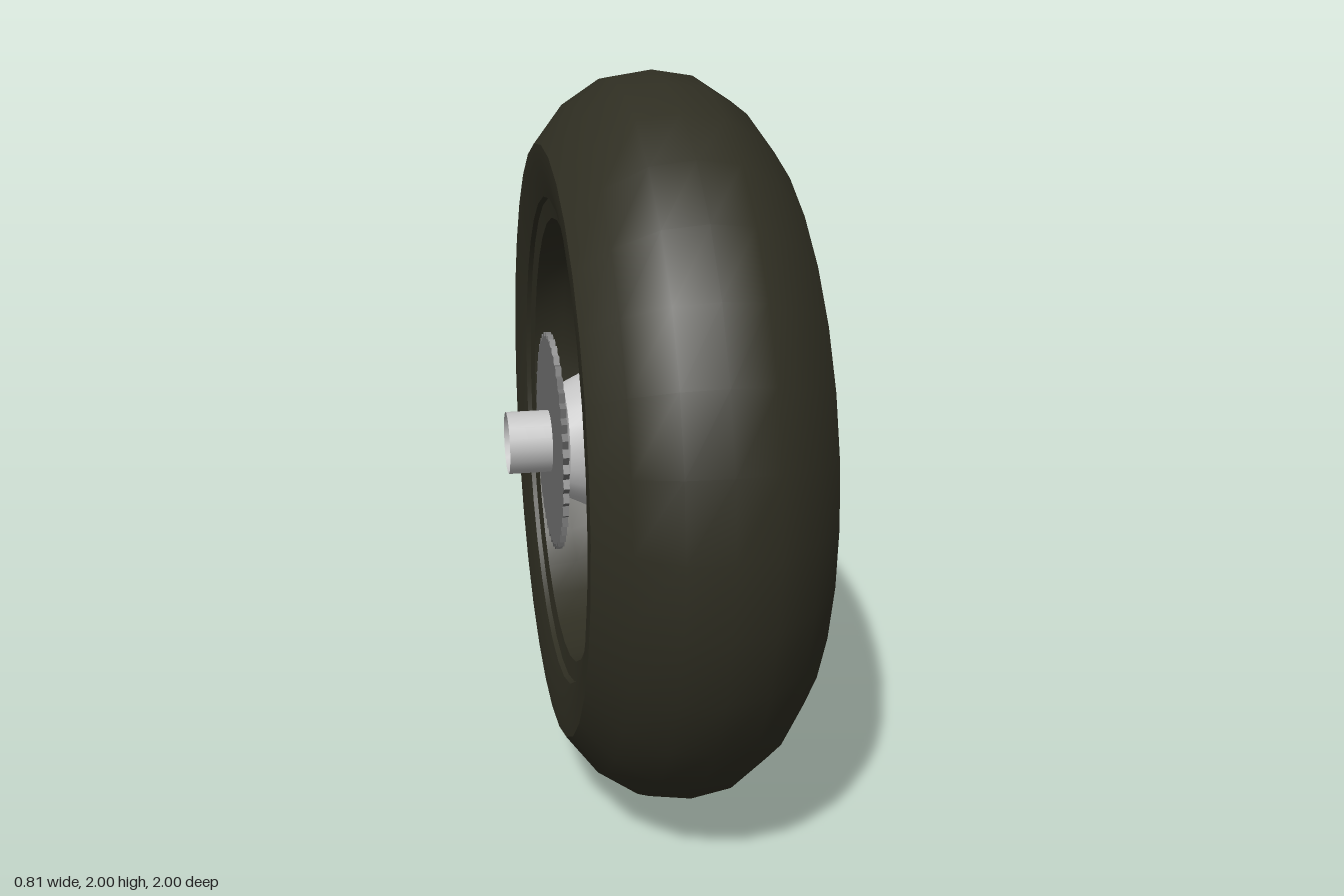
import * as THREE from 'three';
import { toCreasedNormals } from 'three/addons/utils/BufferGeometryUtils.js';

const rubber = new THREE.MeshStandardMaterial({ color: 0x2f2e22 });
rubber.name = 'dark rubber';
const alloy = new THREE.MeshStandardMaterial({ color: 0xc4c4c4, side: THREE.DoubleSide });
alloy.name = 'light alloy';
const steel = new THREE.MeshStandardMaterial({ color: 0x737373 });
steel.name = 'grey steel';

function add(parent, name, geometry, material) {
  const mesh = new THREE.Mesh(geometry, material);
  mesh.name = name;
  parent.add(mesh);
  return mesh;
}

// Revolve [x, radius] points around the wheel axis (x)
function revolve(profile, segments, crease = 0.6) {
  const points = profile.map(([x, r]) => new THREE.Vector2(r, x));
  const g = new THREE.LatheGeometry(points, segments);
  g.rotateZ(-Math.PI / 2);
  return toCreasedNormals(g, crease);
}

// Complete a half profile so that it runs from -x to +x
function mirrored(half) {
  const left = half.filter(([x]) => x > 0).reverse().map(([x, r]) => [-x, r]);
  return [...left, ...half];
}

const polygon = (pts) => new THREE.Shape(pts.map(([x, y]) => new THREE.Vector2(x, y)));

// Extrude in the wheel plane, centred on x = 0
function plate(shape, depth) {
  const g = new THREE.ExtrudeGeometry(shape, { depth, bevelEnabled: false, curveSegments: 24 });
  return g.translate(0, 0, -depth / 2);
}

// Spoke plate: deep at the hub, slim at the neck, flared at the rim
function spokeGeometry(pts, rootDepth, tipDepth) {
  const g = plate(polygon(pts), 1);
  const p = g.attributes.position;
  for (let i = 0; i < p.count; i++) {
    const v = p.getY(i);
    const t = THREE.MathUtils.clamp((v - 0.14) / 0.35, 0, 1);
    const flare = v > 0.54 ? 1.35 : 1;
    p.setZ(i, p.getZ(i) * THREE.MathUtils.lerp(rootDepth, tipDepth, t) * flare);
  }
  g.computeVertexNormals();
  return g;
}

export function createModel() {
  const wheel = new THREE.Group();
  wheel.name = 'wheel';
  const body = new THREE.Group();
  body.name = 'wheelAssembly';
  body.position.y = 1;
  wheel.add(body);

  // Tyre
  const tread = mirrored([[0, 1], [0.11, 0.983], [0.215, 0.915], [0.295, 0.812], [0.295, 0.76], [0.275, 0.67], [0.2, 0.64]]);
  add(body, 'tire', revolve(tread, 32), rubber);

  // Rim: raised lips and a stepped barrel, closed towards the axis
  const barrel = mirrored([[0, 0.56], [0.12, 0.565], [0.17, 0.6], [0.255, 0.612], [0.262, 0.665], [0.2, 0.665]]).reverse();
  add(body, 'rim', revolve(barrel, 32), rubber);

  // Hub with tapered collars
  const hub = mirrored([[0, 0.195], [0.17, 0.195], [0.25, 0.157], [0.25, 0]]);
  add(body, 'hub', revolve(hub, 24, 0.35), alloy);

  // Hollow axle
  const axle = new THREE.CylinderGeometry(0.086, 0.086, 0.81, 16, 1, true);
  add(body, 'axle', axle.rotateZ(Math.PI / 2), alloy);

  // Six offset spokes, each a tapered plate with a raised rib
  const spokePlate = spokeGeometry([
    [0.03, 0.14], [0.145, 0.12], [0.14, 0.31], [0.104, 0.49], [0.108, 0.53], [0.128, 0.555],
    [0.06, 0.572], [-0.002, 0.565], [0.03, 0.545], [0.052, 0.49], [0.03, 0.31]
  ], 0.18, 0.075);
  const spokeRib = spokeGeometry([
    [0.078, 0.14], [0.108, 0.14], [0.1, 0.32], [0.086, 0.53], [0.07, 0.53], [0.08, 0.32]
  ], 0.23, 0.115);
  const spokes = new THREE.Group();
  spokes.name = 'spokes';
  spokes.rotation.y = Math.PI / 2;
  body.add(spokes);
  for (let i = 0; i < 6; i++) {
    const spoke = new THREE.Group();
    spoke.name = 'spoke';
    spoke.rotation.z = i * Math.PI / 3;
    add(spoke, 'spokePlate', spokePlate, alloy);
    add(spoke, 'spokeRib', spokeRib, alloy);
    spokes.add(spoke);
  }

  // Brake disc with sweeping rows of drilled holes
  const disc = new THREE.Shape().absarc(0, 0, 0.346, 0, Math.PI * 2, false);
  disc.holes.push(new THREE.Path().absarc(0, 0, 0.242, 0, Math.PI * 2, true));
  for (let i = 0; i < 18; i++) {
    for (let j = 0; j < 3; j++) {
      const a = Math.PI / 2 + i * Math.PI / 9 + j * 0.14;
      const r = 0.325 - j * 0.029;
      const hole = [];
      for (let k = 0; k < 8; k++) {
        const b = -k * Math.PI / 4;
        hole.push(new THREE.Vector2(r * Math.cos(a) + 0.009 * Math.cos(b), r * Math.sin(a) + 0.009 * Math.sin(b)));
      }
      disc.holes.push(new THREE.Path(hole));
    }
  }
  const brake = add(body, 'brakeDisc', plate(disc, 0.022), steel);
  brake.rotation.y = Math.PI / 2;
  brake.position.x = 0.308;

  // Solid chain sprocket with fine teeth
  const teeth = [];
  for (let i = 0; i < 88; i++) {
    const a = i * Math.PI / 44;
    const r = i % 2 ? 0.285 : 0.301;
    teeth.push([r * Math.cos(a), r * Math.sin(a)]);
  }
  const sprocket = add(body, 'sprocket', plate(polygon(teeth), 0.016), steel);
  sprocket.rotation.y = Math.PI / 2;
  sprocket.position.x = -0.28;

  return wheel;
}
